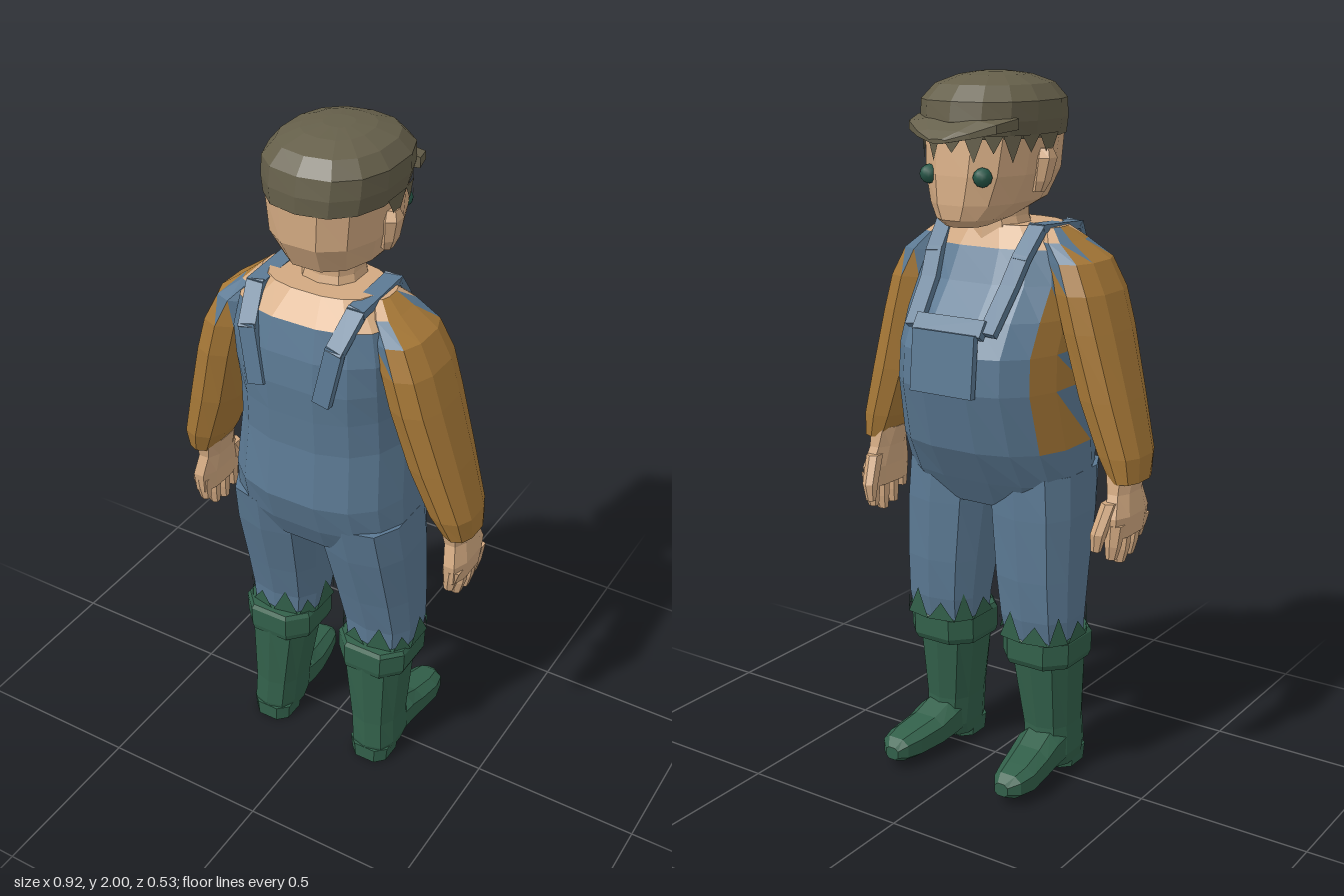
import * as THREE from 'three';

const mat = (name, color, side = THREE.FrontSide) => Object.assign(new THREE.MeshStandardMaterial({ color, side }), { name });

// Points of one boxy oval; section = [height, x0, x1, z0, z1], s mirrors it in x
function ring([y, x0, x1, z0, z1], n, e, s = 1) {
  const pow = v => Math.sign(v) * Math.abs(v) ** e;
  return Array.from({ length: n }, (_, j) => {
    const a = ((j + 0.5) / n) * Math.PI * 2;
    return new THREE.Vector3(
      (s * (x0 + x1)) / 2 + (pow(Math.cos(a)) * (x1 - x0)) / 2, y,
      (z0 + z1) / 2 + (pow(Math.sin(a)) * (z1 - z0)) / 2);
  });
}

// Faceted geometry from triangles; pick(centre) gives the material index of each
function facets(tris, pick = () => 0) {
  const buckets = [];
  for (const t of tris) {
    const c = t[0].clone().add(t[1]).add(t[2]).divideScalar(3);
    (buckets[pick(c)] ??= []).push(...t);
  }
  const geo = new THREE.BufferGeometry();
  let start = 0;
  const all = [];
  buckets.forEach((b, i) => { geo.addGroup(start, b.length, i); start += b.length; all.push(...b); });
  geo.setFromPoints(all);
  geo.computeVertexNormals();
  return geo;
}

// Closed body through a stack of sections, lowest first
function loft(sections, { n = 10, e = 0.8, s = 1, pick } = {}) {
  const rings = sections.map(q => ring(q, n, e, s));
  const tris = [];
  const mid = r => r.reduce((m, p) => m.add(p), new THREE.Vector3()).divideScalar(n);
  const bottom = rings[0], top = rings[rings.length - 1];
  const cb = mid(bottom), ct = mid(top);
  for (let j = 0; j < n; j++) {
    const k = (j + 1) % n;
    for (let i = 0; i + 1 < rings.length; i++) {
      const [a, b, c, d] = [rings[i][j], rings[i][k], rings[i + 1][k], rings[i + 1][j]];
      tris.push([a, d, c], [a, c, b]);
    }
    tris.push([cb, bottom[j], bottom[k]], [ct, top[k], top[j]]);
  }
  return facets(tris, pick);
}

// Ragged triangles rising or hanging from an oval
function spikes(section, h, n, e, s, keep = () => true) {
  const r = ring(section, n, e, s), tris = [];
  r.forEach((p, j) => {
    const q = r[(j + 1) % n];
    const tip = p.clone().lerp(q, 0.5);
    if (!keep(tip)) return;
    tip.y += h * (j % 2 ? 1 : 0.65);
    tris.push(h > 0 ? [p, tip, q] : [p, q, tip]);
  });
  return facets(tris);
}

export function createModel() {
  const skin = mat('skin', 0xd2a981), denim = mat('denim', 0x5b7993), shirt = mat('shirt', 0xa97a38);
  const rubber = mat('boot rubber', 0x32604a, THREE.DoubleSide), felt = mat('cap felt', 0x655f4a, THREE.DoubleSide);
  const eyeMat = mat('eye', 0x265647);
  const model = new THREE.Group();
  const add = (name, geo, material, parent = model) => {
    const m = new THREE.Mesh(geo, material);
    m.name = name;
    parent.add(m);
    return m;
  };
  const sym = (y, w, z0, z1) => [y, -w, w, z0, z1];

  // Torso: overalls, bare upper chest, shirt patch at the sides
  add('torso', loft([
    sym(0.82, 0.23, -0.10, 0.19), sym(0.9, 0.268, -0.15, 0.232), sym(1.0, 0.262, -0.21, 0.264),
    sym(1.17, 0.25, -0.252, 0.246), sym(1.27, 0.247, -0.245, 0.25), sym(1.36, 0.25, -0.195, 0.256),
    sym(1.45, 0.25, -0.125, 0.25), sym(1.54, 0.23, -0.08, 0.228), sym(1.6, 0.16, -0.05, 0.165),
  ], {
    n: 16, e: 0.78,
    pick: c => (c.y > 1.55 ? 1 : Math.abs(c.x) > 0.215 && c.y > 1.05 && c.y < 1.4 && c.z < 0.02 ? 2 : 0),
  }), [denim, skin, shirt]);

  // Bib pocket with flap
  const pocket = add('bib pocket', new THREE.BoxGeometry(0.2, 0.17, 0.02), denim);
  pocket.position.set(0, 1.25, -0.247);
  pocket.rotation.x = 0.1;
  const flap = add('pocket flap', new THREE.BoxGeometry(0.22, 0.05, 0.025), denim);
  flap.position.set(0, 1.345, -0.215);
  flap.rotation.x = 0.6;

  // Neck and head
  add('neck', loft([sym(1.54, 0.1, -0.07, 0.13), sym(1.62, 0.078, -0.06, 0.1), sym(1.72, 0.08, -0.07, 0.1)]), skin);
  add('head', loft([
    sym(1.605, 0.05, -0.19, -0.07), sym(1.625, 0.085, -0.212, 0.03), sym(1.665, 0.122, -0.216, 0.165),
    sym(1.74, 0.15, -0.21, 0.203), sym(1.84, 0.162, -0.195, 0.203), sym(1.89, 0.15, -0.18, 0.19),
  ], { n: 12, e: 0.8 }), skin);

  // Flat cap, brim and ragged hem
  add('cap', loft([
    sym(1.835, 0.168, -0.2, 0.21), sym(1.88, 0.177, -0.212, 0.21), sym(1.93, 0.178, -0.205, 0.2),
    sym(1.97, 0.145, -0.165, 0.165), sym(1.992, 0.09, -0.1, 0.1), sym(2.0, 0.04, -0.04, 0.04),
  ], { n: 14, e: 0.85 }), felt);
  add('cap brim', loft([
    [0.13, -0.168, 0.168, -1.9, -1.85], [0.2, -0.145, 0.145, -1.885, -1.845],
    [0.24, -0.085, 0.085, -1.86, -1.835], [0.267, -0.025, 0.025, -1.84, -1.828],
  ].map(([y, a, b, c, d]) => [y, a, b, -d, -c]), { n: 8, e: 0.6 }).rotateX(-Math.PI / 2).scale(1, 1, 1), felt);
  add('cap hem', spikes(sym(1.845, 0.171, -0.205, 0.211), -0.07, 20, 0.82, 1, p => p.z < 0.06), felt);

  for (const s of [1, -1]) {
    const side = new THREE.Group();
    side.name = s > 0 ? 'leftSide' : 'rightSide';
    model.add(side);
    const part = (name, sections, material, opt = {}) => add(name, loft(sections, { s, ...opt }), material, side);

    // Eye and ear
    add('eye', new THREE.IcosahedronGeometry(0.026, 1), eyeMat, side).position.set(s * 0.085, 1.74, -0.185);
    part('ear', [
      [1.69, 0.125, 0.155, -0.02, 0.015], [1.72, 0.13, 0.17, -0.03, 0.03],
      [1.78, 0.13, 0.184, -0.03, 0.04], [1.805, 0.13, 0.175, -0.015, 0.025],
    ], skin, { n: 6 });

    // Sleeve, with strap-coloured patches on the shoulder
    part('sleeve', [
      [0.93, 0.375, 0.462, -0.04, 0.115], [1.0, 0.335, 0.464, -0.05, 0.14], [1.15, 0.275, 0.425, -0.062, 0.165],
      [1.33, 0.225, 0.375, -0.07, 0.188], [1.43, 0.2, 0.345, -0.07, 0.19], [1.51, 0.17, 0.305, -0.055, 0.175],
      [1.56, 0.15, 0.235, -0.035, 0.14], [1.595, 0.14, 0.19, 0, 0.1],
    ], [shirt, denim, skin], {
      pick: c => {
        const x = Math.abs(c.x);
        if (c.y > 1.57 && x < 0.2) return 2;
        return c.y > 1.46 && x < 0.265 && (c.z < 0.02 || c.z > 0.12) ? 1 : 0;
      },
    });

    // Hand: wrist and palm, four fingers, thumb
    part('hand', [
      [0.78, 0.385, 0.445, -0.065, 0.115], [0.84, 0.38, 0.452, -0.07, 0.12],
      [0.9, 0.372, 0.442, -0.045, 0.1], [0.96, 0.355, 0.45, -0.035, 0.11],
    ], skin, { n: 8 });
    [[-0.045, 0.72], [0.0, 0.7], [0.047, 0.71], [0.092, 0.75]].forEach(([z, y]) => part('finger', [
      [y, 0.395, 0.425, z - 0.014, z + 0.014], [y + 0.04, 0.393, 0.437, z - 0.021, z + 0.021],
      [0.82, 0.39, 0.447, z - 0.022, z + 0.022],
    ], skin, { n: 6 }));
    part('thumb', [
      [0.75, 0.372, 0.4, -0.1, -0.075], [0.8, 0.37, 0.412, -0.106, -0.06], [0.88, 0.38, 0.425, -0.07, -0.02],
    ], skin, { n: 6 });

    // Strap over the shoulder, back to front
    const path = [[0.1, 1.35, 0.25], [0.13, 1.5, 0.237], [0.15, 1.585, 0.165], [0.15, 1.595, -0.02],
      [0.14, 1.52, -0.085], [0.13, 1.45, -0.125], [0.12, 1.34, -0.21]].map(p => new THREE.Vector3(s * p[0], p[1], p[2]));
    for (let i = 0; i + 1 < path.length; i++) {
      const strap = add('strap', new THREE.BoxGeometry(0.022, 0.05, path[i].distanceTo(path[i + 1]) + 0.015), denim, side);
      strap.position.copy(path[i]).lerp(path[i + 1], 0.5);
      strap.up.set(1, 0, 0);
      strap.lookAt(path[i + 1]);
    }

    // Trouser leg
    part('trouserLeg', [
      [0.42, 0.055, 0.27, -0.09, 0.11], [0.5, 0.045, 0.277, -0.108, 0.115], [0.62, 0.032, 0.277, -0.118, 0.145],
      [0.8, 0.014, 0.276, -0.122, 0.195], [0.92, 0.005, 0.268, -0.12, 0.22],
    ], denim, { e: 0.72 });

    // Boot: shaft, turned-down cuff with ragged edge, foot, heel
    part('bootShaft', [
      [0.02, 0.115, 0.24, -0.02, 0.14], [0.06, 0.108, 0.25, -0.05, 0.148], [0.15, 0.1, 0.247, -0.045, 0.142],
      [0.37, 0.066, 0.26, -0.07, 0.142],
    ], rubber, { e: 0.72 });
    part('bootCuff', [
      [0.352, 0.052, 0.272, -0.09, 0.146], [0.37, 0.046, 0.28, -0.1, 0.15], [0.43, 0.046, 0.282, -0.1, 0.15],
      [0.442, 0.054, 0.274, -0.09, 0.142],
    ], rubber, { n: 8, e: 0.7 });
    add('cuffSpikes', spikes([0.435, 0.042, 0.282, -0.113, 0.122], 0.085, 10, 0.72, s), rubber, side);
    const foot = loft([
      [-0.03, 0.115, 0.248, -0.15, -0.02], [0.04, 0.11, 0.25, -0.14, -0.02], [0.1, 0.118, 0.252, -0.115, -0.015],
      [0.18, 0.135, 0.257, -0.1, -0.012], [0.23, 0.15, 0.245, -0.09, -0.018], [0.257, 0.17, 0.215, -0.07, -0.03],
    ].map(([y, a, b, c, d]) => [y, a, b, -d, -c]), { n: 8, e: 0.7, s }).rotateX(-Math.PI / 2);
    add('bootFoot', foot, rubber, side);
    part('bootHeel', [[0, 0.115, 0.24, 0.02, 0.148], [0.05, 0.11, 0.245, 0.02, 0.15]], rubber, { n: 8, e: 0.7 });
  }
  return model;
}
